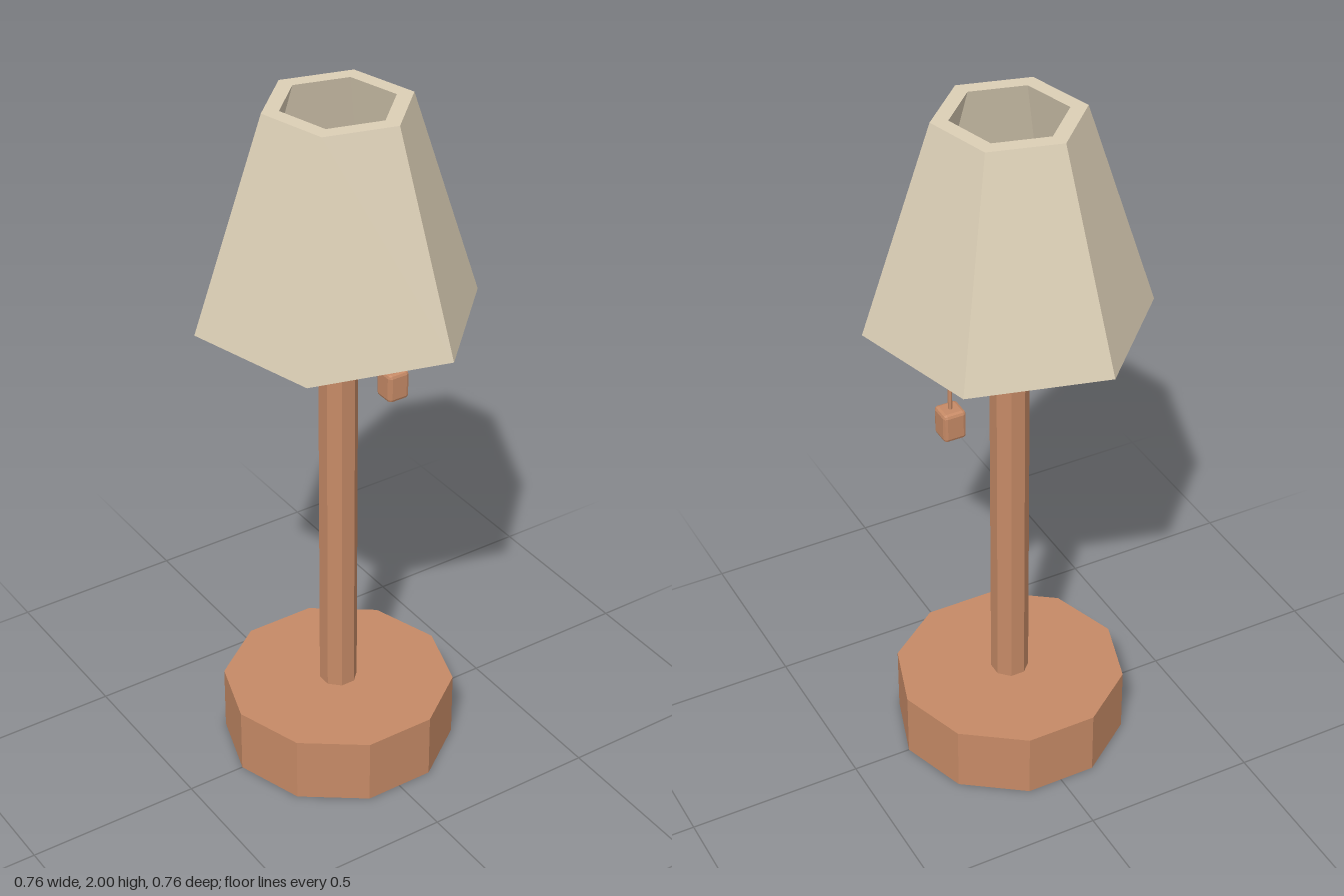
import * as THREE from 'three';
import { RoundedBoxGeometry } from 'three/addons/geometries/RoundedBoxGeometry.js';

export function createModel() {
  const lamp = new THREE.Group();
  lamp.name = 'tableLamp';

  const wood = new THREE.MeshStandardMaterial({ color: 0xc68a66, flatShading: true });
  wood.name = 'wood';
  const cream = new THREE.MeshStandardMaterial({ color: 0xdccfb6, flatShading: true });
  cream.name = 'cream';

  const add = (name, geometry, material) => {
    const mesh = new THREE.Mesh(geometry, material);
    mesh.name = name;
    lamp.add(mesh);
    return mesh;
  };

  // upright prism between two heights, turned about its axis
  const prism = (name, radius, bottom, top, sides, turn, material, x = 0) => {
    const geometry = new THREE.CylinderGeometry(radius, radius, top - bottom, sides);
    geometry.rotateY(turn).translate(x, (bottom + top) / 2, 0);
    return add(name, geometry, material);
  };

  // ten-sided foot, eight-sided post and bulb
  prism('base', 0.33, 0, 0.195, 10, Math.PI / 2, wood);
  prism('post', 0.054, 0.195, 1.45, 8, Math.PI / 8, wood);
  prism('bulbNeck', 0.03, 1.45, 1.5, 8, Math.PI / 8, wood);
  prism('bulb', 0.081, 1.5, 1.63, 8, Math.PI / 8, cream);

  // thick hexagonal shade, open at both ends
  const profile = [
    [0.345, 1.4], [0.392, 1.4], [0.202, 2], [0.155, 2], [0.345, 1.4],
  ].map(([r, y]) => new THREE.Vector2(r, y));
  add('shade', new THREE.LatheGeometry(profile, 6, Math.PI / 12), cream);

  // pull cord with a bevelled wooden knob
  prism('pullCord', 0.006, 1.15, 1.6, 6, 0, wood, 0.178);
  add('pullKnob', new RoundedBoxGeometry(0.066, 0.086, 0.066, 1, 0.01), wood)
    .position.set(0.178, 1.122, 0);

  return lamp;
}
